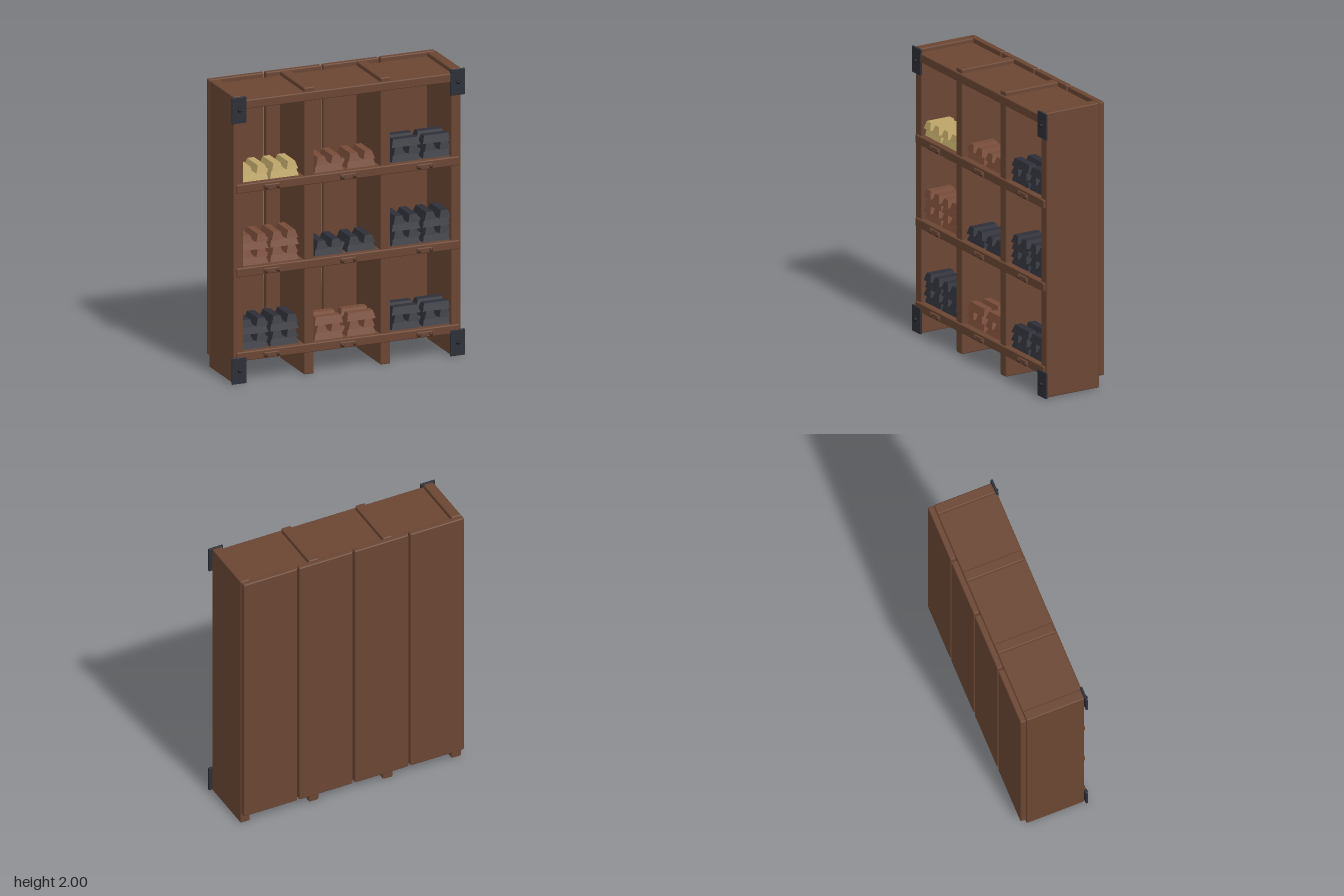
import * as THREE from 'three';
import { RoundedBoxGeometry } from 'three/addons/geometries/RoundedBoxGeometry.js';

const material = (name, color, flatShading = false) => {
  const m = new THREE.MeshStandardMaterial({ color, flatShading });
  m.name = name;
  return m;
};

// Tapered bar lying along z, resting on y = 0
function ingotGeometry(length, width, height) {
  const geo = new THREE.BoxGeometry(width, height, length);
  const p = geo.attributes.position;
  for (let i = 0; i < p.count; i++) {
    if (p.getY(i) > 0) {
      p.setX(i, p.getX(i) * 0.6);
      p.setZ(i, p.getZ(i) * 0.86);
    }
  }
  geo.translate(0, height / 2, 0);
  geo.computeVertexNormals();
  return geo;
}

export function createModel() {
  const model = new THREE.Group();
  model.name = 'ingotRack';

  const wood = material('wood', 0x6b4633);
  const darkWood = material('shelf bolt brown', 0x4a3025);
  const iron = material('iron', 0x2d2f38);
  const boltIron = material('bolt black', 0x1c1d22);
  const copper = material('copper', 0x774a37);
  const gold = material('gold', 0xbda566);

  const add = (parent, name, geo, mat, x, y, z) => {
    const mesh = new THREE.Mesh(geo, mat);
    mesh.name = name;
    mesh.position.set(x, y, z);
    parent.add(mesh);
    return mesh;
  };
  // Box given by its minimum and maximum corners, with softened edges
  const board = (name, a, b, mat = wood, r = 0.008) => {
    const s = b.map((v, i) => v - a[i]);
    return add(model, name, new RoundedBoxGeometry(s[0], s[1], s[2], 1, r), mat,
      (a[0] + b[0]) / 2, (a[1] + b[1]) / 2, (a[2] + b[2]) / 2);
  };
  const boltGeo = new THREE.SphereGeometry(0.014, 10, 6);

  // Uprights
  for (const x of [-0.79, -0.278, 0.275, 0.787]) {
    board('upright', [x - 0.036, 0, -0.203], [x + 0.036, 2, 0.21]);
  }

  // Back planks with narrow gaps
  for (let i = 0; i < 4; i++) {
    const x = -0.826 + i * 0.415;
    board('backPlank', [x, 0.08, -0.247], [x + 0.401, 2, -0.205]);
  }

  // Shelves, with bolted cleats on the three lower ones
  const shelfTops = [0.217, 0.803, 1.387];
  board('topShelf', [-0.81, 1.91, -0.2], [0.807, 1.972, 0.224]);
  for (const top of shelfTops) {
    board('shelf', [-0.81, top - 0.062, -0.2], [0.807, top, 0.224]);
    for (const x of [-0.556, -0.003, 0.552]) {
      board('shelfCleat', [x - 0.058, top - 0.056, 0.216], [x + 0.058, top - 0.018, 0.235], wood, 0.006);
      for (const dx of [-0.043, 0.043]) {
        add(model, 'shelfBolt', boltGeo, darkWood, x + dx, top - 0.037, 0.233);
      }
    }
  }

  // Metal corner plates and their bolts
  for (const side of [-1, 1]) {
    for (const y of [0.093, 1.91]) {
      const x = side * 0.792;
      board('cornerPlate', [x - 0.053, y - 0.092, 0.214], [x + 0.053, y + 0.09, 0.229], iron, 0.003);
      add(model, 'cornerBolt', boltGeo, boltIron, x, y, 0.234);
    }
  }

  // Ingot stacks: each layer is a pair of bars, turned a quarter from the one below
  const layerHeight = 0.052;
  const barGeo = ingotGeometry(0.208, 0.084, layerHeight);
  const stack = (name, mat, x, y, layers) => {
    const group = new THREE.Group();
    group.name = name;
    group.position.set(x, y, 0.085);
    for (let i = 0; i < layers; i++) {
      for (const side of [-1, 1]) {
        const along = i % 2 === 1;
        const bar = add(group, 'ingot', barGeo, mat,
          along ? side * 0.053 : 0, i * layerHeight, along ? 0 : side * 0.053);
        if (!along) bar.rotation.y = Math.PI / 2;
      }
    }
    model.add(group);
  };

  // Metal and number of layers per compartment, left to right, bottom shelf first
  const bays = [[-0.663, -0.444], [-0.122, 0.113], [0.438, 0.663]];
  const contents = [
    [[iron, 4], [copper, 3], [iron, 3]],
    [[copper, 4], [iron, 2], [iron, 4]],
    [[gold, 2], [copper, 2], [iron, 3]],
  ];
  contents.forEach((row, r) => row.forEach(([mat, layers], c) => {
    for (const x of bays[c]) stack(`${mat.name}Stack`, mat, x, shelfTops[r], layers);
  }));

  return model;
}
